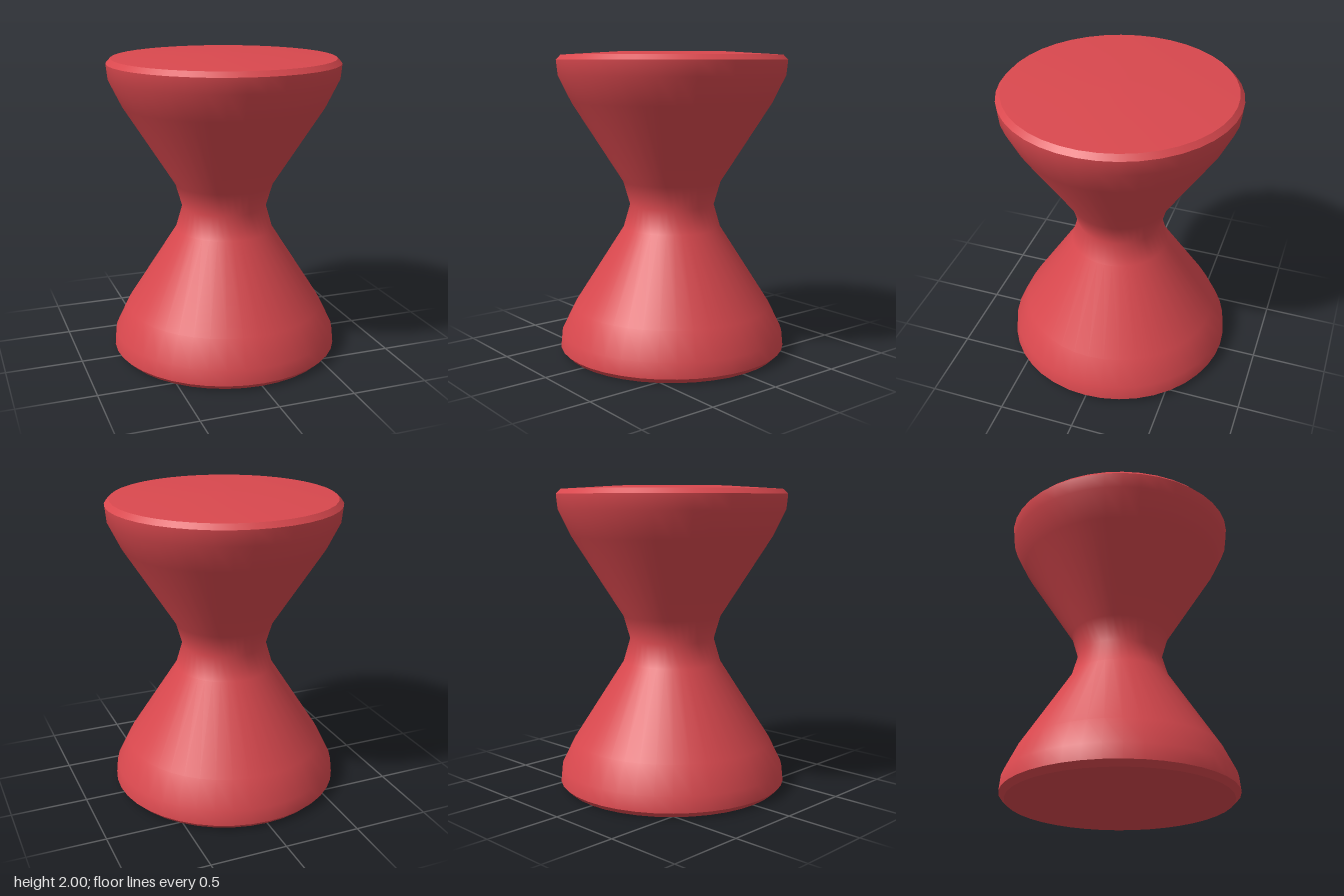
import * as THREE from 'three';

const SEGMENTS = 40;

export function createModel() {
  const group = new THREE.Group();
  group.name = 'hourglassStool';
  const red = new THREE.MeshStandardMaterial({ color: 0xd9484e });
  red.name = 'red plastic';

  // Each section is its own lathe, so edges between sections stay sharp
  const addLathe = (name, profile) => {
    const points = profile.map(([r, y]) => new THREE.Vector2(r, y));
    const mesh = new THREE.Mesh(new THREE.LatheGeometry(points, SEGMENTS), red);
    mesh.name = name;
    group.add(mesh);
  };

  // Flat underside and its chamfer
  addLathe('underside', [[0, 0], [0.72, 0]]);
  addLathe('baseChamfer', [[0.72, 0], [0.755, 0.035]]);

  // Smooth waisted body
  addLathe('body', [
    [0.755, 0.035], [0.745, 0.135], [0.66, 0.31], [0.325, 0.835], [0.28, 0.99],
    [0.325, 1.145], [0.66, 1.67], [0.745, 1.845], [0.755, 1.943],
  ]);

  // Seat rim and slightly domed seat
  addLathe('seatChamfer', [[0.755, 1.943], [0.725, 1.975]]);
  addLathe('seat', [[0.725, 1.975], [0.37, 1.996], [0, 2]]);

  return group;
}
